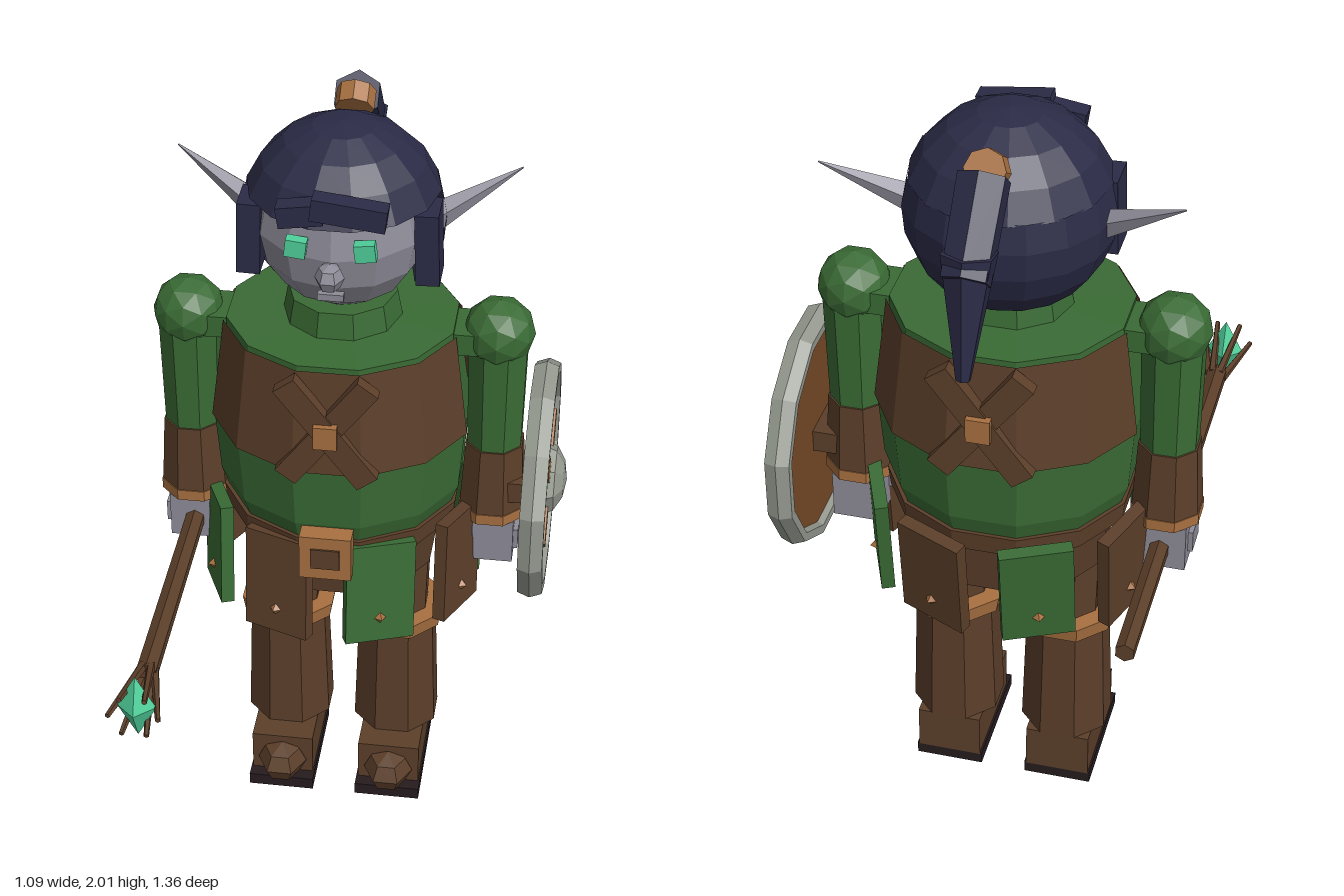
import * as THREE from 'three';

const mat = (name, color, side = THREE.FrontSide) => {
  const m = new THREE.MeshStandardMaterial({ color, flatShading: true, side });
  m.name = name;
  return m;
};

export function createModel() {
  const skin = mat('grey skin', 0x8e8c98);
  const hair = mat('dark hair', 0x2b2b47, THREE.DoubleSide);
  const green = mat('green cloth', 0x3a6b35);
  const brown = mat('brown leather', 0x5c3f2a, THREE.DoubleSide);
  const tan = mat('tan trim', 0xa87040);
  const wood = mat('shield wood', 0x784a26);
  const metal = mat('dull metal', 0x959a90);
  const gem = mat('green gem', 0x4fcf9a);
  const dark = mat('dark sole', 0x261c1e);

  const root = new THREE.Group();
  const body = new THREE.Group();
  body.name = 'figure';
  body.position.set(-0.05, 0, -0.21);
  root.add(body);

  const rad = THREE.MathUtils.degToRad;
  const add = (name, geo, m, x = 0, y = 0, z = 0, parent = body) => {
    const mesh = new THREE.Mesh(geo, m);
    mesh.name = name;
    mesh.position.set(x, y, z);
    parent.add(mesh);
    return mesh;
  };
  const box = (name, m, w, h, d, x, y, z, parent) => add(name, new THREE.BoxGeometry(w, h, d), m, x, y, z, parent);
  const cyl = (name, m, rTop, rBot, y0, y1, sides, x = 0, z = 0) =>
    add(name, new THREE.CylinderGeometry(rTop, rBot, y1 - y0, sides, 1, false, Math.PI / sides), m, x, (y0 + y1) / 2, z);
  // tapered rod from point a to point b
  const rod = (name, m, a, b, ra, rb, sides) => {
    const A = new THREE.Vector3(...a), B = new THREE.Vector3(...b);
    const dir = B.clone().sub(A);
    const r = add(name, new THREE.CylinderGeometry(rb, ra, dir.length(), sides), m);
    r.position.copy(A).add(B).multiplyScalar(0.5);
    r.quaternion.setFromUnitVectors(new THREE.Vector3(0, 1, 0), dir.normalize());
    return r;
  };

  // torso, collar, belt
  const depth = 0.94;
  const profile = [[0, 0.91], [0.3, 0.93], [0.325, 1.0], [0.338, 1.17], [0.3, 1.44], [0.3, 1.47], [0, 1.475]];
  add('tunic', new THREE.LatheGeometry(profile.map(p => new THREE.Vector2(...p)), 12, rad(15)), green).scale.z = depth;
  cyl('collar', green, 0.14, 0.155, 1.46, 1.54, 10);
  cyl('hips', brown, 0.28, 0.25, 0.73, 0.93, 12).scale.z = depth;
  cyl('belt', brown, 0.318, 0.312, 0.895, 0.95, 12).scale.z = depth;
  box('buckle', tan, 0.135, 0.13, 0.05, 0, 0.93, 0.32);
  box('buckleCentre', brown, 0.075, 0.06, 0.02, 0, 0.93, 0.34);

  // vest halves with crossed straps, front and back
  for (const s of [1, -1]) {
    const start = s > 0 ? rad(-75) : rad(105);
    add('vest', new THREE.CylinderGeometry(0.308, 0.345, 0.285, 5, 1, true, start, rad(150)), brown, 0, 1.3175, 0).scale.z = depth;
    const cross = new THREE.Group();
    cross.name = 'crossedStraps';
    cross.position.set(0, 1.3, s * 0.287);
    cross.rotation.y = s > 0 ? 0 : Math.PI;
    body.add(cross);
    for (const k of [1, -1]) {
      box('strap', brown, 0.065, 0.35, 0.035, 0, 0, 0.015 + k * 0.003, cross).rotation.z = k * rad(37);
    }
    box('strapStud', tan, 0.06, 0.065, 0.03, 0, 0, 0.036, cross);
  }

  // eight skirt flaps on an oval, alternating colours, all swept slightly forward
  for (let i = 0; i < 8; i++) {
    const a = rad(22.5 + 45 * i);
    const flap = new THREE.Group();
    flap.name = 'skirtFlap';
    flap.position.set(Math.sin(a) * 0.345, 0.79, Math.cos(a) * 0.3);
    flap.rotation.set(-0.12, a, 0);
    body.add(flap);
    box('flapPanel', i % 2 ? brown : green, 0.185, 0.29, 0.035, 0, 0, 0, flap);
    add('flapStud', new THREE.OctahedronGeometry(0.016), tan, 0, -0.075, 0.018, flap);
  }

  for (const s of [1, -1]) {
    // arms
    add('shoulder', new THREE.IcosahedronGeometry(0.093, 1), green, s * 0.4, 1.44, 0);
    box('shoulderJoint', green, 0.12, 0.06, 0.13, s * 0.3, 1.43, 0);
    cyl('upperArm', green, 0.082, 0.075, 1.1, 1.44, 8, s * 0.4);
    cyl('bracer', brown, 0.08, 0.092, 0.91, 1.11, 8, s * 0.4);
    cyl('cuff', tan, 0.094, 0.094, 0.887, 0.918, 8, s * 0.4);
    box('hand', skin, 0.125, 0.13, 0.13, s * 0.4, 0.82, 0);
    box('thumb', skin, 0.04, 0.06, 0.05, s * 0.335, 0.835, 0.045);
    box('fingers', skin, 0.04, 0.06, 0.08, s * 0.455, 0.82, 0.01);

    // legs and boots
    const x = s * 0.15;
    cyl('thigh', brown, 0.095, 0.085, 0.5, 0.8, 8, x);
    cyl('boot', brown, 0.11, 0.122, 0.155, 0.51, 8, x);
    cyl('bootBand', tan, 0.135, 0.127, 0.5, 0.545, 8, x);
    box('foot', brown, 0.17, 0.125, 0.29, x, 0.093, 0.035);
    add('toe', new THREE.SphereGeometry(0.068, 6, 4), brown, x, 0.08, 0.185).scale.set(1, 0.85, 1.1);
    box('sole', dark, 0.18, 0.035, 0.325, x, 0.0175, 0.053);

    // ears, eyes, side locks
    rod('ear', skin, [s * 0.18, 1.712, -0.03], [s * 0.435, 1.848, -0.12], 0.046, 0.002, 5);
    box('eye', gem, 0.052, 0.046, 0.03, s * 0.085, 1.775, 0.215).rotation.z = s * 0.12;
    box('sideLock', hair, 0.06, 0.195, 0.1, s * 0.222, 1.72, 0.055).rotation.z = s * 0.03;
  }

  // head and face
  add('head', new THREE.SphereGeometry(0.22, 12, 8), skin, 0, 1.74, 0);
  add('nose', new THREE.SphereGeometry(0.037, 6, 4), skin, 0, 1.708, 0.235).scale.z = 1.15;
  box('mouth', skin, 0.065, 0.018, 0.02, 0, 1.643, 0.215);

  // hair: cap, back, fringe and tail
  add('hairCap', new THREE.SphereGeometry(0.258, 14, 4, 0, Math.PI * 2, 0, rad(71)), hair, 0, 1.742, -0.02);
  add('hairBack', new THREE.SphereGeometry(0.258, 8, 4, Math.PI, Math.PI, rad(70), rad(66)), hair, 0, 1.742, -0.02);
  box('fringe', hair, 0.185, 0.058, 0.05, 0.045, 1.878, 0.21).rotation.z = -0.12;
  box('fringe', hair, 0.11, 0.055, 0.05, -0.075, 1.865, 0.205).rotation.z = 0.15;
  rod('hairTie', tan, [0, 1.935, -0.205], [0, 1.965, -0.25], 0.05, 0.05, 8);
  rod('ponytail', hair, [0, 1.95, -0.255], [0, 1.775, -0.42], 0.064, 0.06, 6);
  rod('ponytailEnd', hair, [0, 1.83, -0.385], [0, 1.53, -0.45], 0.068, 0.018, 6);

  // staff held in the right hand
  const sx = -0.396, sy = 0.812;
  rod('staff', brown, [sx, sy, -0.47], [sx, sy, 0.72], 0.026, 0.029, 6);
  for (let i = 0; i < 6; i++) {
    const a = i * Math.PI / 3, c = Math.cos(a), n = Math.sin(a);
    rod('staffProng', brown, [sx + c * 0.018, sy + n * 0.018, 0.7], [sx + c * 0.063, sy + n * 0.063, 0.885], 0.012, 0.007, 5);
  }
  add('staffGem', new THREE.OctahedronGeometry(0.05), gem, sx, sy, 0.838).scale.set(1, 1.85, 0.9);

  // round shield on the left arm, built facing +z then turned to +x
  const shield = new THREE.Group();
  shield.name = 'shield';
  shield.position.set(0.522, 0.995, 0);
  shield.rotation.y = Math.PI / 2;
  body.add(shield);
  add('shieldBoard', new THREE.CylinderGeometry(0.3, 0.3, 0.03, 12), wood, 0, 0, 0, shield).rotation.x = Math.PI / 2;
  const rim = add('shieldRim', new THREE.TorusGeometry(0.298, 0.023, 6, 12), metal, 0, 0, 0, shield);
  rim.rotation.z = rad(15);
  rim.scale.z = 1.6;
  for (const x of [-0.16, -0.055, 0.055, 0.16]) {
    box('plankSeam', brown, 0.005, 2 * Math.sqrt(0.28 ** 2 - x * x), 0.004, x, 0, 0.015, shield);
  }
  for (let i = 0; i < 4; i++) {
    const a = Math.PI / 4 + i * Math.PI / 2;
    box('shieldBrace', tan, 0.11, 0.055, 0.02, Math.cos(a) * 0.127, Math.sin(a) * 0.127, 0.02, shield).rotation.z = a;
  }
  const boss = add('shieldBoss', new THREE.SphereGeometry(0.1, 8, 3, 0, Math.PI * 2, 0, Math.PI / 2), metal, 0, 0, 0.012, shield);
  boss.rotation.x = Math.PI / 2;
  boss.scale.y = 0.6;
  box('shieldGrip', brown, 0.14, 0.06, 0.07, 0, -0.01, -0.045, shield);

  return root;
}
